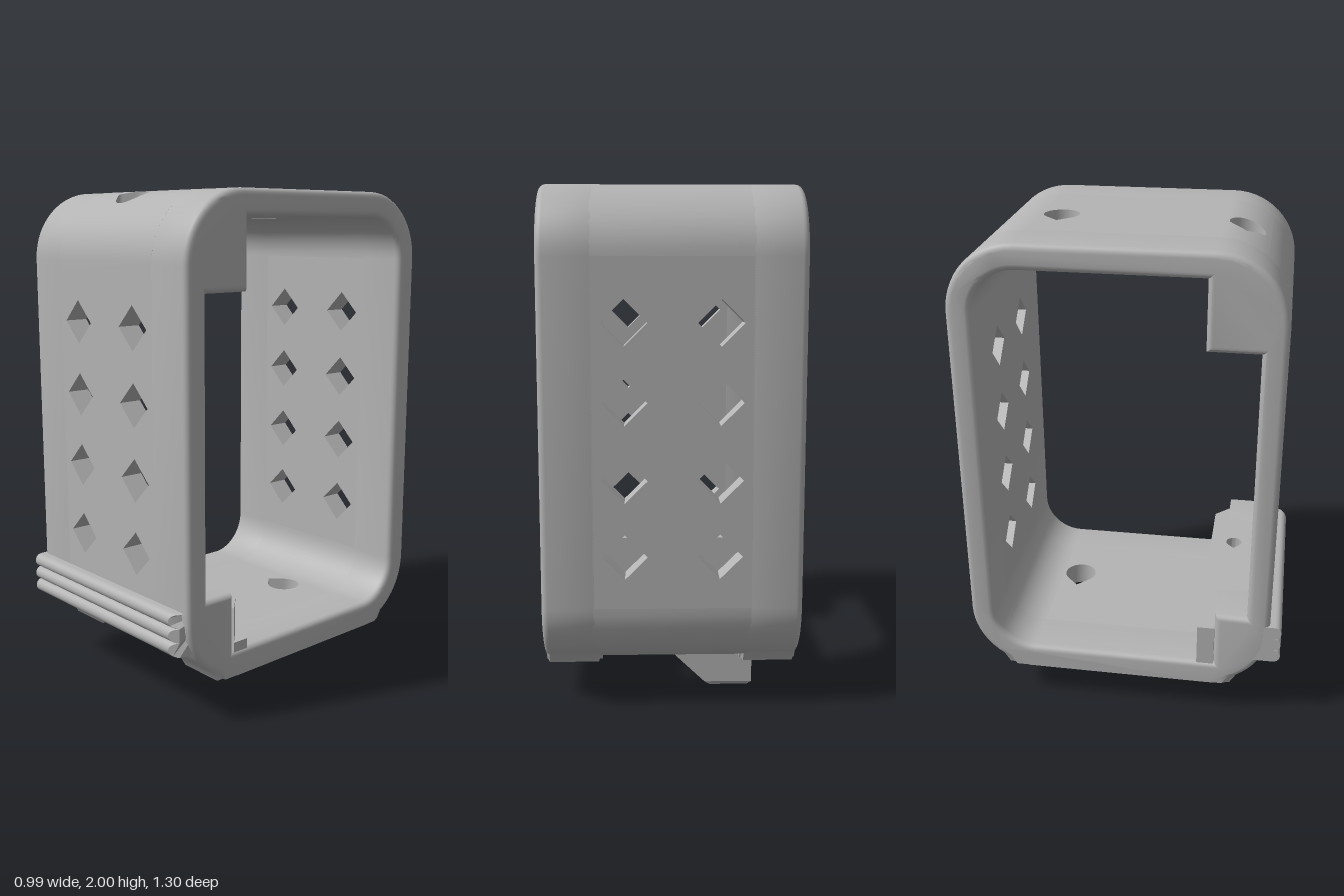
import * as THREE from 'three';
import { toCreasedNormals } from 'three/addons/utils/BufferGeometryUtils.js';

const X0 = -0.495, X1 = 0.495, MID = 0.3;       // full width, and half width of the pierced middle
const R = 0.27, RI = 0.17;                      // outer and inner corner radii
const ZF = 0.335, ZB = -0.38, YT = 1.73, YB = 0.42; // corner centres
const HX = { top: -0.045, bottom: 0.085 }, HZ = 0.42, HR = 0.07;

export function createModel() {
  const group = new THREE.Group();
  const grey = new THREE.MeshStandardMaterial({ color: 0xb4b4b4, side: THREE.DoubleSide });
  grey.name = 'grey plastic';

  const add = (name, geo) => {
    const mesh = new THREE.Mesh(geo, grey);
    mesh.name = name;
    group.add(mesh);
    return mesh;
  };
  const arc = (cx, cy, r, a0, a1, n = 14) => Array.from({ length: n + 1 }, (_, i) => {
    const a = a0 + (a1 - a0) * i / n;
    return [cx + r * Math.cos(a), cy + r * Math.sin(a)];
  });
  const makeShape = (pts, holes, flip) => {
    const v = (p) => p.map(([a, b]) => new THREE.Vector2(flip === 'a' ? -a : a, flip === 'b' ? -b : b));
    const s = new THREE.Shape(v(pts));
    holes.forEach((h) => s.holes.push(new THREE.Path(v(h))));
    return s;
  };
  const rect = (a0, a1, b0, b1) => [[a0, b0], [a1, b0], [a1, b1], [a0, b1]];
  const moveVertices = (geo, rule) => {
    const p = geo.attributes.position, v = new THREE.Vector3();
    for (let i = 0; i < p.count; i++) {
      rule(v.fromBufferAttribute(p, i));
      p.setXYZ(i, v.x, v.y, v.z);
    }
    return geo;
  };

  // Prisms along each axis; outlines are given as (z, y), (x, z) and (x, y)
  const alongX = (pts, x0, x1, holes = [], bevel = 0, rule = null) => {
    const geo = new THREE.ExtrudeGeometry(makeShape(pts, holes, 'a'), {
      depth: x1 - x0 - 2 * bevel, bevelEnabled: bevel > 0, bevelThickness: bevel,
      bevelSize: bevel, bevelOffset: -bevel, bevelSegments: 4,
    }).rotateY(Math.PI / 2).translate(x0 + bevel, 0, 0);
    if (rule) moveVertices(geo, rule);
    return toCreasedNormals(geo, 0.55);
  };
  const alongY = (pts, y0, y1, holes = []) => toCreasedNormals(
    new THREE.ExtrudeGeometry(makeShape(pts, holes, 'b'), { depth: y1 - y0, bevelEnabled: false })
      .rotateX(-Math.PI / 2).translate(0, y0, 0), 0.55);
  const alongZ = (pts, z0, z1, holes = []) =>
    new THREE.ExtrudeGeometry(makeShape(pts, holes), { depth: z1 - z0, bevelEnabled: false })
      .translate(0, 0, z0);

  const teardrop = (x, z, r) =>
    [...arc(x, z, r, -0.75 * Math.PI, 0.75 * Math.PI, 24), [x - r * Math.SQRT2, z]];

  // End bands: the complete ring profile with softened edges, flat underneath
  const outer = [
    ...arc(ZF, YT, R, 0, Math.PI / 2), ...arc(ZB, YT, R, Math.PI / 2, Math.PI),
    ...arc(ZB, YB, R, Math.PI, 1.5 * Math.PI), ...arc(ZF, YB, R, -Math.PI / 2, 0),
  ];
  const inner = [
    [0.31, 1.9], [0.31, 1.63], [0.51, 1.63], [0.51, 0.49], [0.38, 0.49], [0.38, 0.25],
    ...arc(ZB, YB, RI, 1.5 * Math.PI, Math.PI), ...arc(ZB, YT, RI, Math.PI, Math.PI / 2),
  ];
  const flatBase = (v) => { if (v.y < 0.18) v.y = 0.15; };
  add('leftEndBand', alongX(outer, 0.27, X1, [inner], 0.025, flatBase));
  add('rightEndBand', alongX(outer, X0, -0.27, [inner], 0.025, flatBase));

  // Front and back walls with diamond openings
  const diamonds = [];
  for (const x of [-0.178, 0.178]) {
    for (let i = 0; i < 4; i++) {
      const y = 0.62 + i * 0.291, d = 0.086;
      diamonds.push([[x - d, y], [x, y - d], [x + d, y], [x, y + d]]);
    }
  }
  add('frontWall', alongZ(rect(-MID, MID, 0.49, 1.63), 0.51, 0.605, diamonds));
  add('backWall', alongZ(rect(-MID, MID, YB, YT), -0.65, -0.55, diamonds));

  // Roof and floor with teardrop openings
  add('roof', alongY(rect(-MID, MID, ZB, ZF), 1.9, 2, [teardrop(HX.top, -0.3, HR)]));
  add('floor', alongY(rect(-MID, MID, ZB, ZF), 0.15, 0.25, [teardrop(HX.bottom, -0.3, HR)]));

  // Back corners
  add('backTopCorner', alongX([...arc(ZB, YT, R, Math.PI / 2, Math.PI),
    ...arc(ZB, YT, RI, Math.PI, Math.PI / 2)], -MID, MID));
  add('backBottomCorner', alongX([...arc(ZB, YB, R, Math.PI, 1.5 * Math.PI),
    ...arc(ZB, YB, RI, 1.5 * Math.PI, Math.PI)], -MID, MID));

  // Front corners beyond the screw holes
  const aMax = Math.acos((0.51 - ZF) / R);
  add('frontTopCorner', alongX([[0.51, 1.63], [0.605, 1.63], ...arc(ZF, YT, R, 0, aMax)], -MID, MID));
  add('frontBottomCorner', alongX([[0.51, 0.49], ...arc(ZF, YB, R, -aMax, 0), [0.605, 0.49]], -MID, MID));

  // Curved corner skin around a teardrop, with the hole's wall down to yIn
  function cornerSkin(name, cx, cy, sign, yIn) {
    const zs = [ZF];
    for (let i = 0; i <= 24; i++) zs.push(HZ - HR * Math.cos(Math.PI * i / 24));
    zs.push(0.5, 0.51);
    const rows = zs.map((z) => {
      const dz = Math.min(Math.abs(z - HZ), HR), c = Math.sqrt(Math.max(0, HR * HR - dz * dz));
      const tip = dz < HR * Math.SQRT1_2 ? HR * Math.SQRT2 - dz : c;
      return { z, y: cy + sign * Math.sqrt(R * R - (z - ZF) ** 2), l: cx - tip, r: cx + c };
    });
    const strips = [
      (q) => [[-MID, q.y, q.z], [q.l, q.y, q.z]],
      (q) => [[q.r, q.y, q.z], [MID, q.y, q.z]],
      (q) => [[q.l, q.y, q.z], [q.l, yIn, q.z]],
      (q) => [[q.r, yIn, q.z], [q.r, q.y, q.z]],
    ];
    strips.forEach((edge, k) => {
      const used = k < 2 ? rows : rows.slice(1, -2), pos = [], idx = [];
      used.forEach((q, i) => {
        edge(q).forEach((p) => pos.push(...p));
        if (!i) return;
        const a = 2 * i - 2, b = a + 1, c = a + 2, d = a + 3;
        if (sign > 0) idx.push(a, c, b, b, c, d);
        else idx.push(a, b, c, b, d, c);
      });
      const geo = new THREE.BufferGeometry();
      geo.setAttribute('position', new THREE.Float32BufferAttribute(pos, 3));
      geo.setIndex(idx);
      geo.computeVertexNormals();
      add(name, geo);
    });
  }
  cornerSkin('topCornerSkin', HX.top, YT, 1, 1.9);
  cornerSkin('bottomCornerSkin', HX.bottom, YB, -1, 0.25);

  // Inner screw blocks: wide countersink, then a narrow hole
  const block = (name, z0, y0, y1, cx, r) =>
    add(name, alongY(rect(-MID, MID, z0, 0.51), y0, y1, [teardrop(cx, HZ, r)]));
  block('topBlockCountersink', 0.31, 1.78, 1.9, HX.top, HR);
  block('topBlock', 0.31, 1.63, 1.78, HX.top, 0.035);
  block('bottomBlockCountersink', 0.31, 0.25, 0.32, HX.bottom, HR);
  block('bottomBlockStep', 0.31, 0.32, 0.43, HX.bottom, 0.035);
  block('bottomBlockLedge', 0.38, 0.43, 0.49, HX.bottom, 0.035);

  // Step at both ends, cut back at an angle on the left end
  add('stepRightEnd', alongX(rect(0.31, 0.38, 0.25, 0.43), X0, -MID));
  add('stepLeftBase', alongX(rect(0.31, 0.38, 0.25, 0.29), MID, X1));
  add('stepLeftEnd', alongX(rect(0.31, 0.38, 0.29, 0.43), MID, X1, [], 0,
    (v) => { if (v.x > 0.4) v.x = X1 - (0.38 - v.z); }));

  // Ribbed grip across the front, angled at the left end
  const ribs = [[0.5, 0.29]];
  for (let i = 0; i < 3; i++) {
    ribs.push(...arc(0.625, 0.3185 + i * 0.0565, 0.028, -Math.PI / 2, Math.PI / 2, 10));
  }
  ribs.push([0.5, 0.46]);
  add('frontGrip', alongX(ribs, X0, X1, [], 0,
    (v) => { if (v.x > 0) v.x = X1 - Math.max(0, v.z - 0.6) * 1.2; }));

  // Two-pronged clip underneath, sloped on the left side
  const cz = -0.18;
  for (const [name, s] of [['clipFrontProng', 1], ['clipBackProng', -1]]) {
    const prong = [[0.22, 0.16], [0.22, 0.02], [0.2, 0], [0.04, 0], [0.04, 0.05],
      [0.075, 0.075], [0.09, 0.11], [0.08, 0.14], [0.06, 0.16]].map(([z, y]) => [cz + s * z, y]);
    add(name, alongX(prong, -0.33, 0, [], 0, (v) => {
      if (v.x > -0.1) v.x = -0.16 + v.y * 1.05;
      else if (v.y < 0.01) v.x += 0.015;
    }));
  }
  return group;
}
